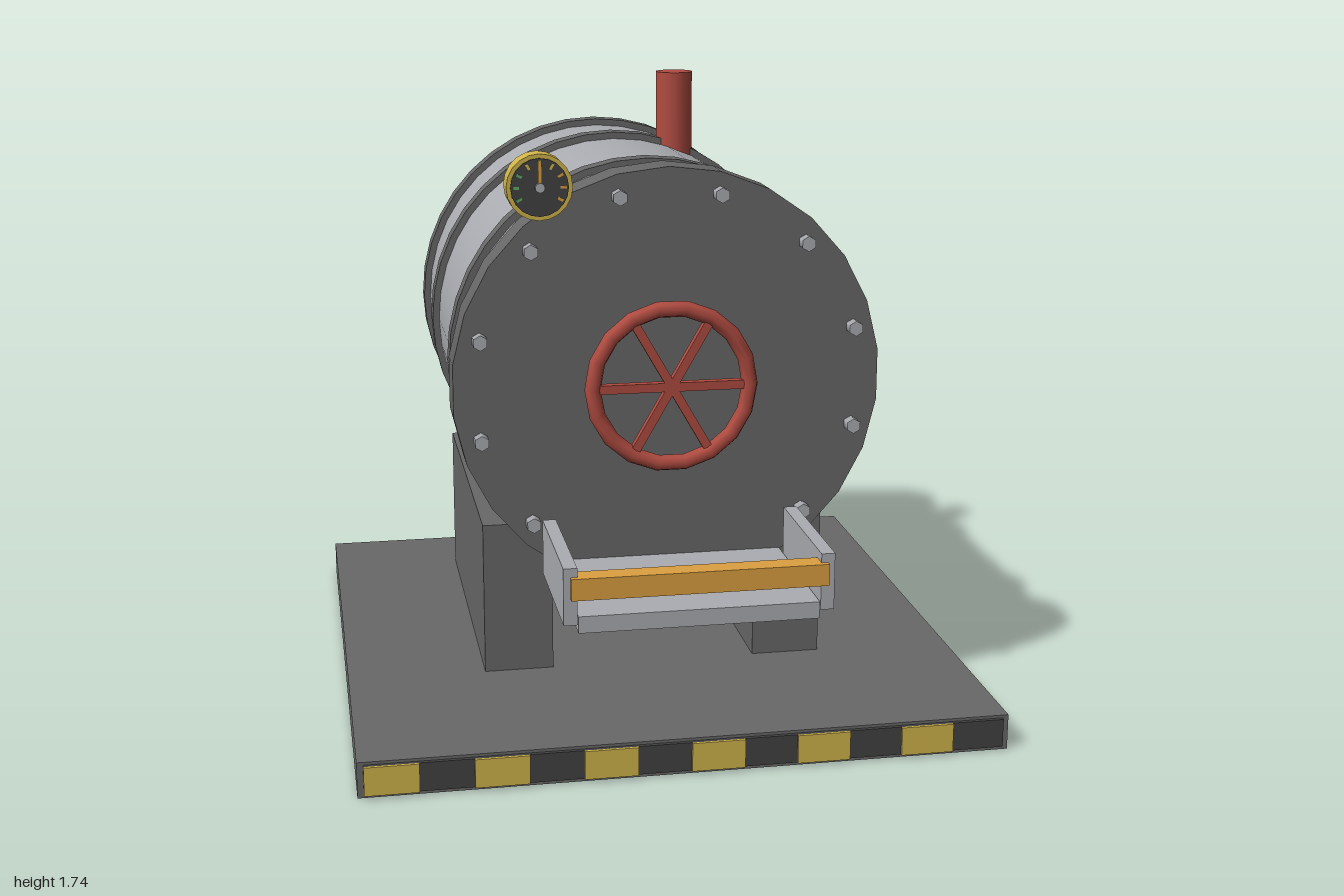
import * as THREE from 'three';

export function createModel() {
  const root = new THREE.Group();
  root.name = 'pressureVessel';

  const mat = (name, color) => {
    const m = new THREE.MeshStandardMaterial({ color });
    m.name = name;
    return m;
  };
  const steel = mat('lightSteel', 0xacadb2);
  const iron = mat('darkIron', 0x686868);
  const black = mat('black', 0x424242);
  const yellow = mat('yellow', 0xd2b64c);
  const orange = mat('orange', 0xdca040);
  const red = mat('red', 0xb04c41);
  const green = mat('green', 0x5fac68);

  const add = (name, geo, material, x = 0, y = 0, z = 0, parent = root) => {
    const mesh = new THREE.Mesh(geo, material);
    mesh.name = name;
    mesh.position.set(x, y, z);
    parent.add(mesh);
    return mesh;
  };
  // Box given by its limits on each axis
  const box = (name, material, [x0, x1], [y0, y1], [z0, z1], parent) =>
    add(name, new THREE.BoxGeometry(x1 - x0, y1 - y0, z1 - z0), material,
      (x0 + x1) / 2, (y0 + y1) / 2, (z0 + z1) / 2, parent);
  // Cylinder lying along z, from z0 to z1
  const drum = (name, material, r, z0, z1, sides, x, y, parent) =>
    add(name, new THREE.CylinderGeometry(r, r, z1 - z0, sides).rotateX(Math.PI / 2),
      material, x, y, (z0 + z1) / 2, parent);

  const AXIS = 0.988;

  // Base plate with a hazard strip along the front edge
  box('basePlate', iron, [-0.882, 0.882], [0, 0.1], [-0.885, 0.885]);
  box('hazardStrip', black, [-0.865, 0.865], [0.012, 0.092], [0.885, 0.896]);
  const w = 1.73 / 12;
  for (let i = 0; i < 12; i += 2) {
    const x = -0.865 + i * w;
    box('hazardStripe', yellow, [x, x + w], [0.012, 0.092], [0.895, 0.903]);
  }

  // Support blocks
  for (const s of [-1, 1]) {
    add('supportBlock', new THREE.BoxGeometry(0.197, 0.44, 0.985), iron, s * 0.393, 0.32, -0.158);
  }

  // Vessel body, hoops and front door
  drum('vesselBody', steel, 0.547, -0.81, 0.45, 40, 0, AXIS);
  for (const z of [0.195, -0.397, -0.753]) {
    drum('hoop', iron, 0.567, z - 0.031, z + 0.031, 40, 0, AXIS);
  }
  drum('frontDoor', iron, 0.588, 0.432, 0.547, 26, 0, AXIS);
  for (let i = 0; i < 12; i++) {
    const a = (i + 0.5) * Math.PI / 6;
    drum('doorBolt', steel, 0.021, 0.54, 0.582, 6,
      0.53 * Math.cos(a), AXIS + 0.53 * Math.sin(a), root);
  }

  // Door handwheel with three crossing bars
  const wheel = new THREE.Group();
  wheel.name = 'handwheel';
  wheel.position.set(0, AXIS, 0.588);
  root.add(wheel);
  add('wheelRim', new THREE.TorusGeometry(0.215, 0.022, 8, 18), red, 0, 0, 0, wheel);
  for (let i = 0; i < 3; i++) {
    add('wheelSpokes', new THREE.BoxGeometry(0.42, 0.024, 0.024), red, 0, 0, 0, wheel)
      .rotation.z = i * Math.PI / 3;
  }
  drum('wheelAxle', red, 0.02, -0.05, 0, 8, 0, 0, wheel);

  // Vent stack
  add('ventStack', new THREE.CylinderGeometry(0.056, 0.056, 0.255, 16), red, 0.196, 1.6075, -0.397);

  // Pressure gauge
  const gauge = new THREE.Group();
  gauge.name = 'gauge';
  gauge.position.set(-0.355, 1.54, 0);
  root.add(gauge);
  drum('gaugeCase', yellow, 0.087, 0.555, 0.62, 20, 0, 0, gauge);
  drum('gaugeDial', black, 0.076, 0.619, 0.624, 20, 0, 0, gauge);
  for (let i = 0; i < 9; i++) {
    const a = (210 - i * 30) * Math.PI / 180;
    const tick = add('gaugeTick', new THREE.BoxGeometry(0.016, 0.007, 0.004),
      i < 3 ? green : i < 6 ? yellow : orange,
      0.062 * Math.cos(a), 0.062 * Math.sin(a), 0.625, gauge);
    tick.rotation.z = a;
  }
  box('gaugeNeedle', orange, [-0.005, 0.005], [0, 0.066], [0.624, 0.63], gauge);
  drum('gaugeHub', steel, 0.013, 0.622, 0.634, 10, 0, 0, gauge);

  // Loading tray
  box('trayFloor', steel, [-0.315, 0.315], [0.455, 0.5], [0.54, 0.985]);
  for (const s of [-1, 1]) {
    add('traySide', new THREE.BoxGeometry(0.036, 0.152, 0.4), steel, s * 0.335, 0.554, 0.785);
  }
  box('trayBar', orange, [-0.335, 0.335], [0.548, 0.606], [0.942, 1]);

  // Rear outlet: neck, chamfered flange ring and bolts
  drum('outletNeck', steel, 0.172, -0.985, -0.8, 28, 0, AXIS);
  const profile = [[0.168, -0.035], [0.228, -0.035], [0.24, -0.024], [0.24, 0.024],
    [0.228, 0.035], [0.19, 0.035], [0.185, 0.01], [0.168, 0.01]];
  const ring = new THREE.LatheGeometry(profile.map(p => new THREE.Vector2(...p)), 28);
  add('outletFlange', ring.rotateX(-Math.PI / 2), green, 0, AXIS, -0.963);
  for (let i = 0; i < 16; i++) {
    const a = i * Math.PI / 8;
    drum('flangeBolt', iron, 0.012, -1, -0.96, 6,
      0.178 * Math.cos(a), AXIS + 0.178 * Math.sin(a), root);
  }

  return root;
}
